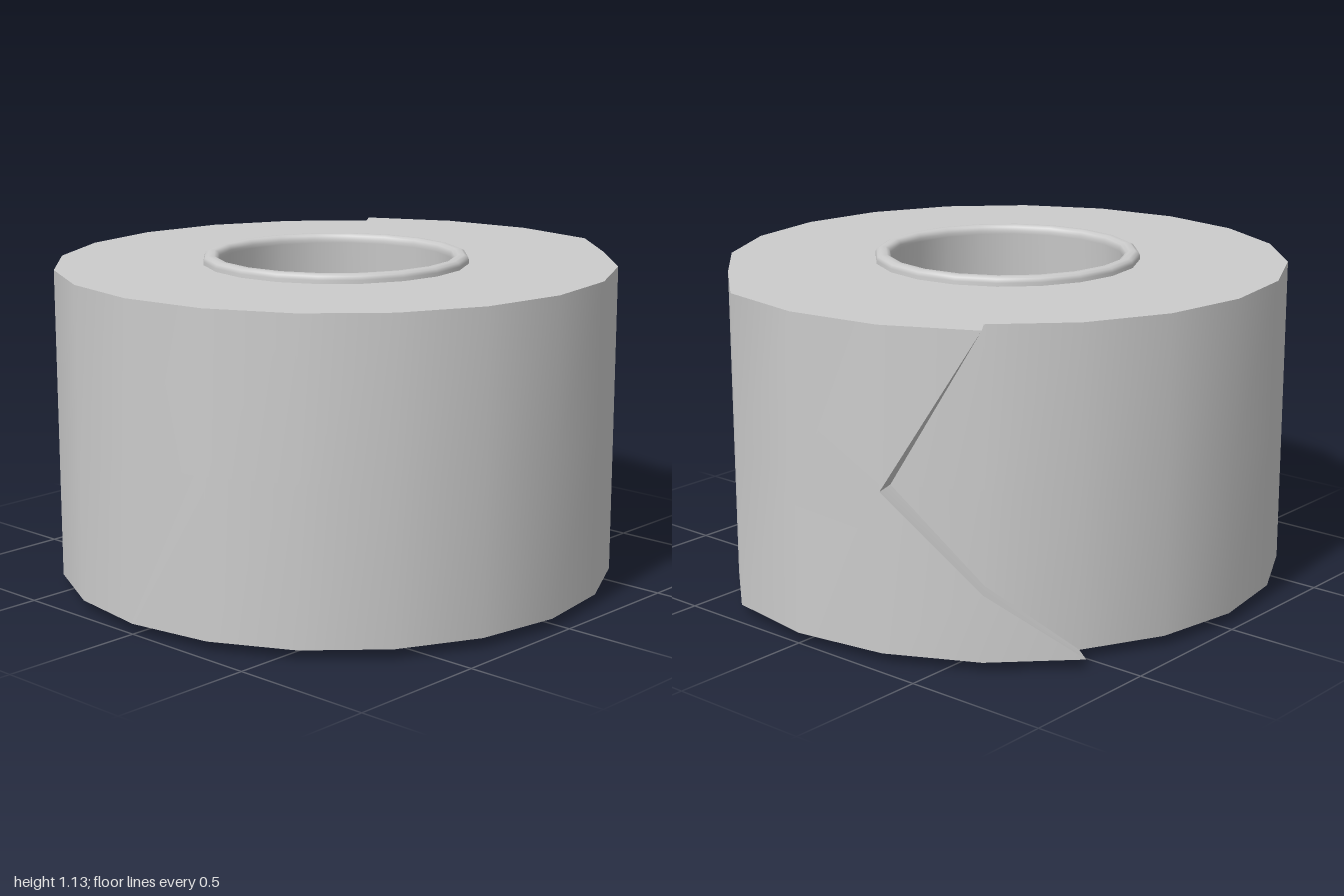
import * as THREE from 'three';
import { toCreasedNormals } from 'three/addons/utils/BufferGeometryUtils.js';

const Y0 = 0.035, MID = 0.57, Y1 = 1.1;   // bottom, notch and top heights of the wound roll
const R = 0.96, RL = 1.04, CZ = 0.04;     // roll radius, outer layer radius, axis position
const STEP = 18;                          // 20 sides

// Point at an angle from the back (positive towards +x)
function at(deg, r, y) {
  const a = THREE.MathUtils.degToRad(deg);
  return [r * Math.sin(a), y, CZ - r * Math.cos(a)];
}

function quad(out, a, b, c, d) {
  out.push(...a, ...b, ...c, ...a, ...c, ...d);
}

// Outward wall through columns [angle, radius, low y, high y]
function strip(out, cols) {
  for (let i = 0; i + 1 < cols.length; i++) {
    const [d0, r0, l0, h0] = cols[i], [d1, r1, l1, h1] = cols[i + 1];
    quad(out, at(d0, r0, l0), at(d1, r1, l1), at(d1, r1, h1), at(d0, r0, h0));
  }
}

// Thickness of the layer's cut end along points [angle, y]
function cutEdge(out, path, facesUp) {
  for (let i = 0; i + 1 < path.length; i++) {
    const [d0, y0] = path[i], [d1, y1] = path[i + 1];
    const first = facesUp ? RL : R, second = facesUp ? R : RL;
    quad(out, at(d0, first, y0), at(d1, first, y1), at(d1, second, y1), at(d0, second, y0));
  }
}

// Flat end of the roll; the outer layer runs on to endDeg
function capGeometry(endDeg, holeRadius, y, up) {
  const s = up ? -1 : 1;
  const p = (d, r) => { const [x, , z] = at(d, r, 0); return new THREE.Vector2(x, s * z); };
  const outline = [];
  for (let d = STEP; d >= endDeg; d -= STEP) outline.push(p(d, RL));
  for (let d = endDeg; d >= 36 - 360; d -= STEP) outline.push(p(d, R));
  const hole = [];
  for (let d = 0; d < 360; d += STEP) hole.push(p(d, holeRadius));
  const shape = new THREE.Shape(outline);
  shape.holes.push(new THREE.Path(hole));
  return new THREE.ShapeGeometry(shape).rotateX(s * Math.PI / 2).translate(0, y, 0);
}

export function createModel() {
  const group = new THREE.Group();
  const mat = new THREE.MeshStandardMaterial({ color: 0xcccccc });
  const add = (name, geo) => {
    const mesh = new THREE.Mesh(geo, mat);
    mesh.name = name;
    group.add(mesh);
    return mesh;
  };

  // Wound wall plus the raised outer layer with its V-cut end
  const v = [];
  for (const [lo, hi] of [[Y0, MID], [MID, Y1]]) {
    const wound = [];
    for (let d = -18; d >= 36 - 360; d -= STEP) wound.push([d, R, lo, hi]);
    strip(v, wound);
    strip(v, [36, 18, 0, -18].map((d) => [d, d === 36 ? R : RL, lo, hi]));
  }
  strip(v, [[-18, RL, MID, Y1], [-36, RL, Y1, Y1]]);
  strip(v, [[-18, RL, Y0, MID], [-36, RL, Y0, 0.26], [-54, RL, Y0, Y0]]);
  cutEdge(v, [[-18, MID], [-36, Y1]], false);
  cutEdge(v, [[-18, MID], [-36, 0.26], [-54, Y0]], true);
  const wall = new THREE.BufferGeometry();
  wall.setAttribute('position', new THREE.Float32BufferAttribute(v, 3));
  add('tapeWall', toCreasedNormals(wall, 0.7));

  // Flat ends
  add('tapeTop', capGeometry(-36, 0.43, Y1, true));
  add('tapeBottom', capGeometry(-54, 0.5, Y0, false));

  // Tapered hollow core with rounded rims
  const profile = [
    [0.47, 0.02], [0.473, 0.008], [0.485, 0], [0.515, 0], [0.527, 0.008], [0.53, 0.02], [0.53, 0.04],
    [0.455, 1.09], [0.457, 1.112], [0.452, 1.124], [0.44, 1.13], [0.42, 1.13], [0.408, 1.124],
    [0.404, 1.112], [0.404, 1.1], [0.469, 0.035], [0.47, 0.02],
  ].map(([r, y]) => new THREE.Vector2(r, y));
  add('core', new THREE.LatheGeometry(profile, 20)).position.z = CZ;

  return group;
}
